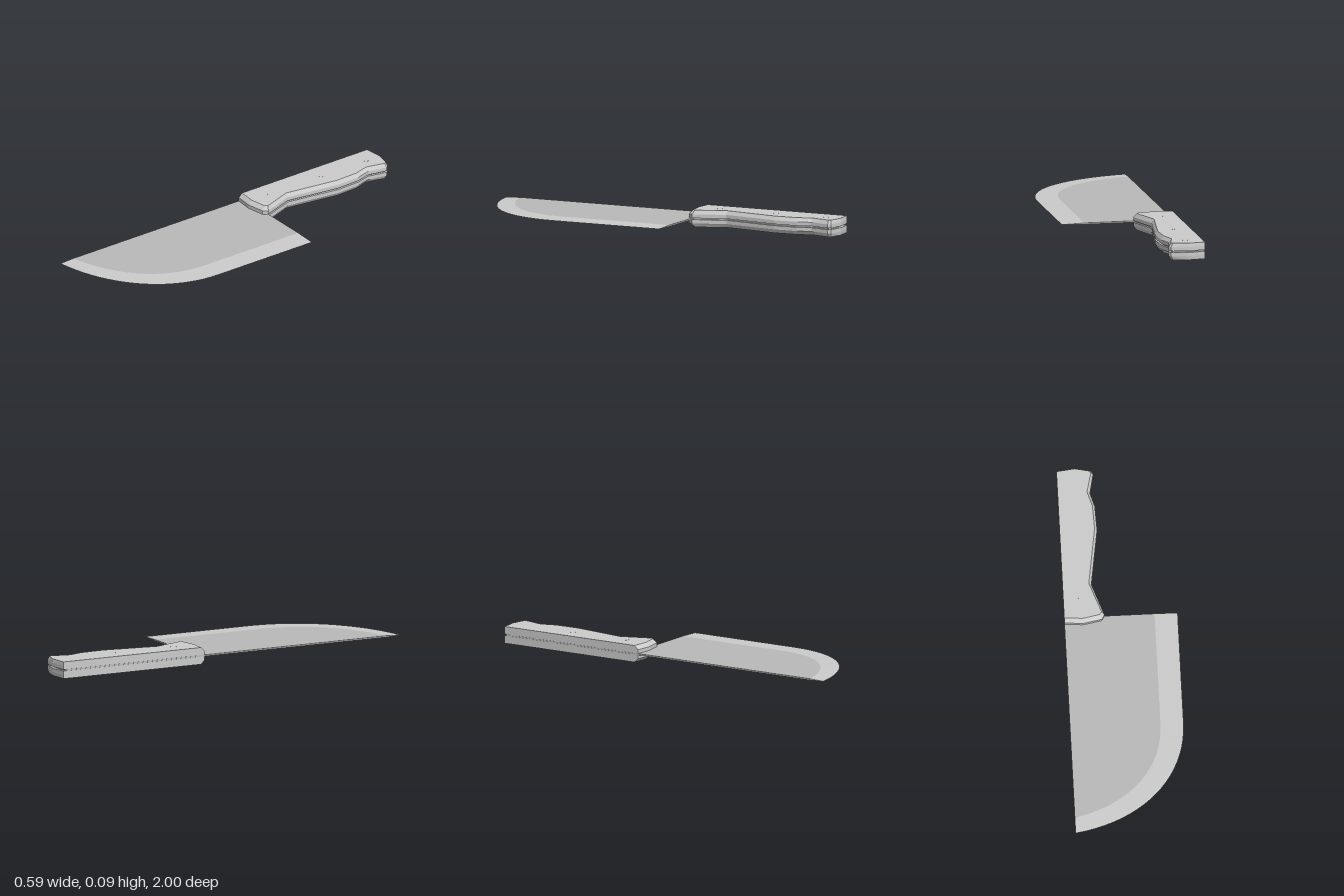
import * as THREE from 'three';

const MID = 0.046; // height of the blade plane
const HALF = 0.004; // half the blade thickness
const SPINE = -0.295;
const V = (x, z) => new THREE.Vector2(x, z);

const grey = () => new THREE.MeshStandardMaterial({ color: 0xcccccc, flatShading: true, side: THREE.DoubleSide });

// Handle outline [x, z], counter-clockwise from above, with the chamfered top outline beside it
const OUTLINE = [
  [-0.295, -0.987, -0.295, -0.985], [-0.295, -0.155, -0.295, -0.176],
  [-0.20, -0.147, -0.20, -0.168], [-0.10, -0.165, -0.11, -0.185],
  [-0.085, -0.19, -0.10, -0.20], [-0.145, -0.36, -0.158, -0.36],
  [-0.10, -0.66, -0.113, -0.66], [-0.105, -0.79, -0.118, -0.785],
  [-0.127, -0.865, -0.142, -0.865], [-0.105, -0.97, -0.117, -0.968],
  [-0.115, -0.985, -0.125, -0.98], [-0.20, -1.0, -0.20, -0.996],
];
const outer = OUTLINE.map((p) => V(p[0], p[1]));
const inner = OUTLINE.map((p) => V(p[2], p[3]));

// Flat plate from an [x, z] outline, centred on the blade plane
function plate(points, half) {
  const geo = new THREE.ExtrudeGeometry(new THREE.Shape(points), { depth: half * 2, bevelEnabled: false });
  return geo.rotateX(Math.PI / 2).translate(0, MID + half, 0);
}

// Solid through equal-length outlines stacked along y; side -1 mirrors it below the blade
function stack(rings, side) {
  const n = rings[0].points.length;
  const pos = [];
  const index = [];
  rings.forEach((r) => r.points.forEach((p) => pos.push(p.x, MID + side * r.h, p.y)));
  const tri = (a, b, c) => (side > 0 ? index.push(a, b, c) : index.push(a, c, b));
  for (let k = 0; k < rings.length - 1; k++) {
    for (let i = 0; i < n; i++) {
      const a = k * n + i, b = k * n + ((i + 1) % n);
      tri(a, b, b + n);
      tri(a, b + n, a + n);
    }
  }
  const top = (rings.length - 1) * n;
  const caps = (points) => THREE.ShapeUtils.triangulateShape(points.map((p) => V(p.x, -p.y)), []);
  caps(rings[0].points).forEach(([a, b, c]) => tri(a, c, b));
  caps(rings[rings.length - 1].points).forEach(([a, b, c]) => tri(top + a, top + b, top + c));
  const geo = new THREE.BufferGeometry();
  geo.setAttribute('position', new THREE.Float32BufferAttribute(pos, 3));
  geo.setIndex(index);
  const flat = geo.toNonIndexed();
  flat.computeVertexNormals();
  return flat;
}

// Straight run from the heel, then a curve to the tip on the spine
function bladeLine(x, c1, c2, tipZ) {
  const curve = new THREE.CubicBezierCurve(V(x, 0.42), c1, c2, V(SPINE, tipZ));
  return [V(x, -0.19), ...curve.getPoints(20)];
}

// Ground edge: a wedge swept between the shoulder line and the cutting line
function wedge(shoulder, edge) {
  const pos = [];
  const index = [];
  shoulder.forEach((s, i) => {
    const e = edge[i];
    pos.push(s.x, MID + HALF, s.y, e.x, MID, e.y, s.x, MID - HALF, s.y);
  });
  for (let i = 0; i < shoulder.length - 1; i++) {
    const a = i * 3, b = a + 3;
    index.push(a, b, b + 1, a, b + 1, a + 1);
    index.push(a + 1, b + 1, b + 2, a + 1, b + 2, a + 2);
  }
  const last = (shoulder.length - 1) * 3;
  index.push(0, 1, 2, last, last + 2, last + 1);
  const geo = new THREE.BufferGeometry();
  geo.setAttribute('position', new THREE.Float32BufferAttribute(pos, 3));
  geo.setIndex(index);
  const flat = geo.toNonIndexed();
  flat.computeVertexNormals();
  return flat;
}

export function createModel() {
  const model = new THREE.Group();
  model.name = 'cleaver';
  const add = (name, geo, material = grey()) => {
    const mesh = new THREE.Mesh(geo, material);
    mesh.name = name;
    model.add(mesh);
    return mesh;
  };

  // Blade: flat body with a ground cutting edge
  const shoulder = bladeLine(0.175, V(0.175, 0.68), V(-0.02, 0.86), 0.915);
  const edge = bladeLine(0.295, V(0.295, 0.72), V(0.06, 0.95), 1.0);
  const steel = grey();
  steel.color.set(0xb9b9b9);
  add('bladeBody', plate([V(SPINE, -0.19), ...shoulder], HALF), steel);
  add('cuttingEdge', wedge(shoulder, edge));

  // Tang: set back from the handle outline, flush along the spine
  const tang = outer.map((p, i) => {
    if (i === 0) return V(SPINE, -0.975);
    if (i === 1) return V(SPINE, -0.18);
    return V(p.x - 0.012, THREE.MathUtils.clamp(p.y, -0.98, -0.18));
  });
  add('tang', plate(tang, HALF - 0.0003), steel);

  // Handle scales with a chamfer on the outer face, one each side of the tang
  for (const side of [1, -1]) {
    const rings = [{ points: outer, h: HALF }, { points: outer, h: 0.024 }, { points: inner, h: 0.0445 }];
    add(side > 0 ? 'upperScale' : 'lowerScale', stack(rings, side));
  }

  // Rivets through both scales
  for (const z of [-0.29, -0.62, -0.91]) {
    const rivet = add('rivet', new THREE.CylinderGeometry(0.016, 0.016, 0.0896, 12));
    rivet.position.set(-0.205, MID, z);
  }

  // Stand the lowest face on the ground
  model.position.y = 0.0448 - MID;
  return model;
}
